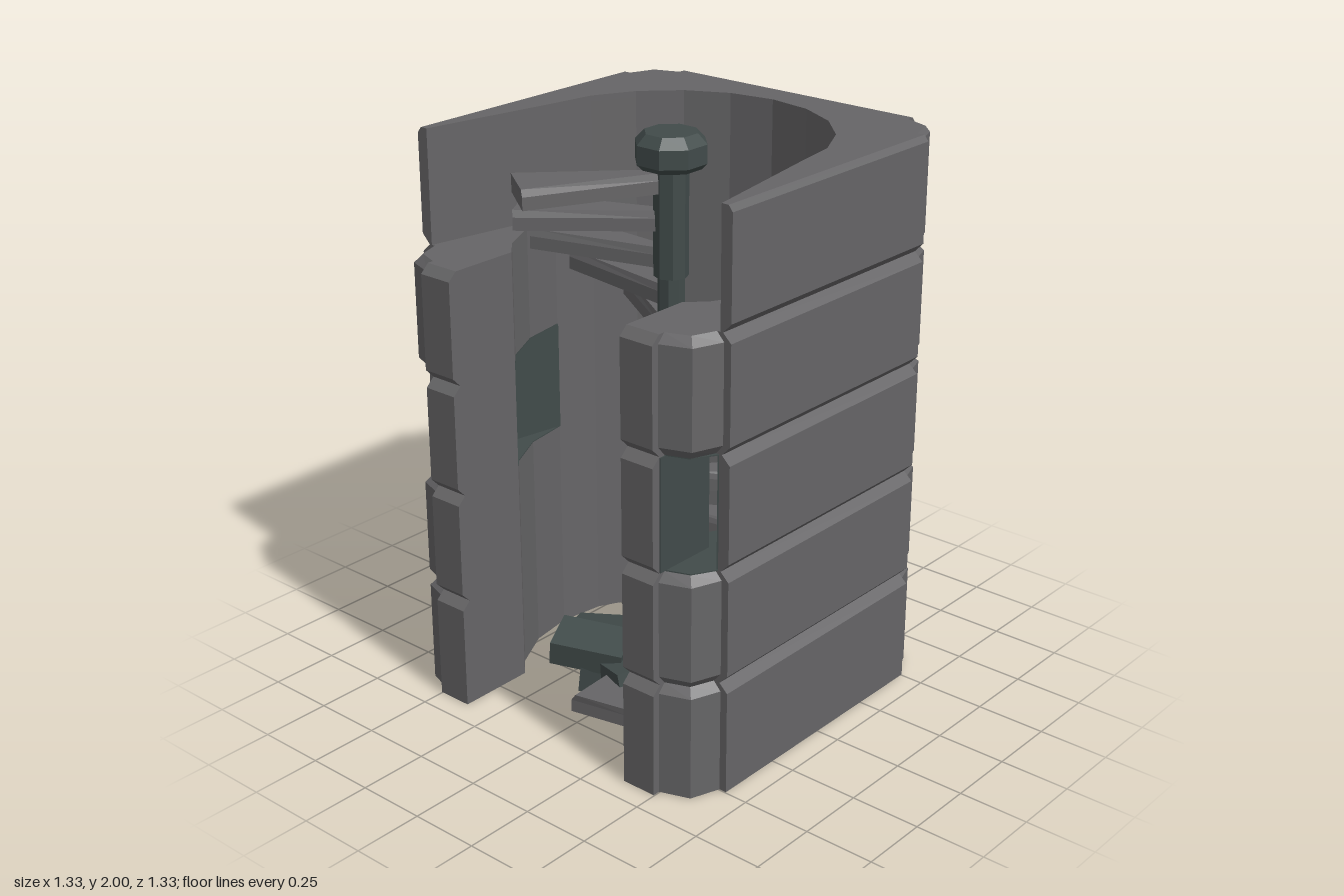
import * as THREE from 'three';

const R = 0.535; // stairwell radius
const stone = new THREE.MeshStandardMaterial({ color: 0x666567, flatShading: true });
stone.name = 'greyStone';
const dark = new THREE.MeshStandardMaterial({ color: 0x414b4a, flatShading: true });
dark.name = 'darkStone';

// Closed solid from rings of [x, z] points (counter-clockwise in x, z) at rising heights
function loft(rings, heights) {
  const pos = [];
  const put = (k, i) => pos.push(rings[k][i][0], heights[k], rings[k][i][1]);
  const n = rings[0].length;
  const last = rings.length - 1;
  for (let k = 0; k < last; k++) {
    for (let i = 0; i < n; i++) {
      const j = (i + 1) % n;
      put(k, i); put(k + 1, i); put(k + 1, j);
      put(k, i); put(k + 1, j); put(k, j);
    }
  }
  for (const k of [0, last]) {
    const contour = rings[k].map(([x, z]) => new THREE.Vector2(x, z));
    for (const [a, b, c] of THREE.ShapeUtils.triangulateShape(contour, [])) {
      put(k, a);
      put(k, k ? c : b);
      put(k, k ? b : c);
    }
  }
  const geo = new THREE.BufferGeometry();
  geo.setAttribute('position', new THREE.Float32BufferAttribute(pos, 3));
  geo.computeVertexNormals();
  return geo;
}

const mirror = (pts) => pts.map(([x, z]) => [-x, z]).reverse();

// Half of the wall plan; t pulls the outer faces in towards the groove
function halfPlan(t, open, gap) {
  const B = 0.667 - 0.032 * t;
  const C = 0.64 - 0.028 * t;
  const D = 0.603 - 0.022 * t;
  const pts = [[gap, -B], [0.5, -B], [0.5, -C], [D, -D], [C, -0.5], [B, -0.5], [B, 0.5]];
  if (open) pts.push([0.625, 0.5]);
  else pts.push([C, 0.5], [D, D], [0.5, C], [0.5, B], [0.37, B], [0.37, 0.38]);
  for (let k = open ? 5 : 7; k > 0; k--) {
    const a = (k * Math.PI) / 10;
    pts.push([R * Math.sin(a), -R * Math.cos(a)]);
  }
  pts.push([gap, -R + gap * 0.16]);
  return pts;
}

const pillarPlan = (t) => {
  const B = 0.667 - 0.032 * t;
  return [[0.5, 0.4], [0.5, B], [0.37, B], [0.37, 0.38]];
};

export function createModel() {
  const model = new THREE.Group();
  const add = (geo, mat, name, parent = model) => {
    const mesh = new THREE.Mesh(geo, mat);
    mesh.name = name;
    parent.add(mesh);
    return mesh;
  };

  // Adds a plan and its mirror image; levels are [height, inset]
  const addPair = (plan, levels, mat, name) => {
    const rings = levels.map(([, t]) => plan(t));
    const ys = levels.map(([y]) => y);
    add(loft(rings, ys), mat, name + 'Left');
    add(loft(rings.map(mirror), ys), mat, name + 'Right');
  };

  // Wall courses with bevelled joints
  const closed = (t) => halfPlan(t, false, 0);
  const open = (t) => halfPlan(t, true, 0);
  const slotted = (t) => halfPlan(t, true, 0.055);
  addPair(closed, [[0, 0], [0.37, 0], [0.4, 1]], stone, 'wallCourse1');
  addPair(closed, [[0.4, 1], [0.433, 0], [0.77, 0], [0.8, 1]], stone, 'wallCourse2');
  addPair(open, [[0.8, 1], [0.833, 0], [0.87, 0]], stone, 'wallCourse3Lower');
  addPair(slotted, [[0.87, 0], [1.12, 0]], stone, 'wallCourse3Slot');
  addPair(open, [[1.12, 0], [1.17, 0], [1.2, 1]], stone, 'wallCourse3Upper');
  addPair(closed, [[1.2, 1], [1.233, 0], [1.57, 0], [1.6, 1]], stone, 'wallCourse4');
  addPair(open, [[1.6, 1], [1.633, 0], [1.98, 0], [2, 0.5]], stone, 'wallCourse5');

  // Front pillars beside the corner openings
  addPair(pillarPlan, [[0.8, 1], [0.833, 0], [1.17, 0], [1.2, 1]], stone, 'frontPillar');

  // Dark linings of the corner openings: floor, ceiling, outer wall and pillar side
  const floorPlan = () => [
    [R, 0], [0.625, 0.5], [0.58, 0.58], [0.5, 0.61],
    [0.5, 0.4], [0.37, 0.38], [0.433, 0.314], [0.509, 0.165],
  ];
  addPair(floorPlan, [[0.8, 0], [0.804, 0]], dark, 'openingFloor');
  addPair(floorPlan, [[1.196, 0], [1.2, 0]], dark, 'openingCeiling');
  addPair(() => [[R - 0.004, 0.0], [R, 0], [0.625, 0.5], [0.621, 0.503]],
    [[0.803, 0], [1.197, 0]], dark, 'openingLining');
  addPair(() => [[0.504, 0.4], [0.504, 0.635], [0.499, 0.635], [0.499, 0.4]],
    [[0.803, 0], [1.197, 0]], dark, 'pillarLining');

  // Spiral stair: wedge treads rising around the post
  const stair = new THREE.Group();
  stair.name = 'spiralStair';
  model.add(stair);
  const wedge = (from, to, w) => {
    const at = (r, deg) => {
      const a = THREE.MathUtils.degToRad(deg);
      return [r * Math.sin(a), r * Math.cos(a)];
    };
    const mid = (from + to) / 2;
    return [at(0.04, mid + w), at(0.04, mid - w), at(0.525, from), at(0.525, to)].reverse();
  };
  for (let i = 0; i < 14; i++) {
    const y = 0.055 + i * 0.134;
    const a = i * 24;
    const rings = [wedge(a, a + 24, 40), wedge(a, a + 24, 40), wedge(a + 2, a + 23, 30)];
    add(loft(rings, [y, y + 0.045, y + 0.07]), stone, 'tread' + (i + 1), stair);
  }

  // Central post of stacked drums, each turned a little, with a bevelled cap
  const post = new THREE.Group();
  post.name = 'centralPost';
  model.add(post);
  [0.048, 0.056, 0.067, 0.047, 0.06].forEach((r, i) => {
    const drum = add(new THREE.CylinderGeometry(r, r, 0.378, 8), dark, 'postDrum' + (i + 1), post);
    drum.position.y = 0.189 + i * 0.376;
    drum.rotation.y = Math.PI / 8 + i * 0.3;
  });
  const profile = [[0, 1.88], [0.105, 1.88], [0.125, 1.9], [0.125, 1.965], [0.092, 2], [0, 2]];
  const cap = add(new THREE.LatheGeometry(profile.map(([x, y]) => new THREE.Vector2(x, y)), 8),
    dark, 'postCap', post);
  cap.rotation.y = Math.PI / 8;

  // Fallen blocks at the foot of the stair: position, size, rotation
  const blocks = [
    [[-0.12, 0.165, 0.29], [0.26, 0.09, 0.17], [0.15, 0.45, -0.16]],
    [[-0.24, 0.085, 0.14], [0.2, 0.12, 0.16], [0.1, 0.2, 0.2]],
    [[0.02, 0.095, 0.27], [0.24, 0.13, 0.16], [0.1, -0.35, 0.2]],
    [[0.14, 0.09, 0.16], [0.18, 0.13, 0.16], [0, 0.3, -0.15]],
    [[-0.07, 0.07, 0.25], [0.18, 0.11, 0.18], [0, 0.5, -0.1]],
  ];
  blocks.forEach(([p, s, r], i) => {
    const block = add(new THREE.BoxGeometry(...s), dark, 'fallenBlock' + (i + 1));
    block.position.set(...p);
    block.rotation.set(...r);
  });

  return model;
}
